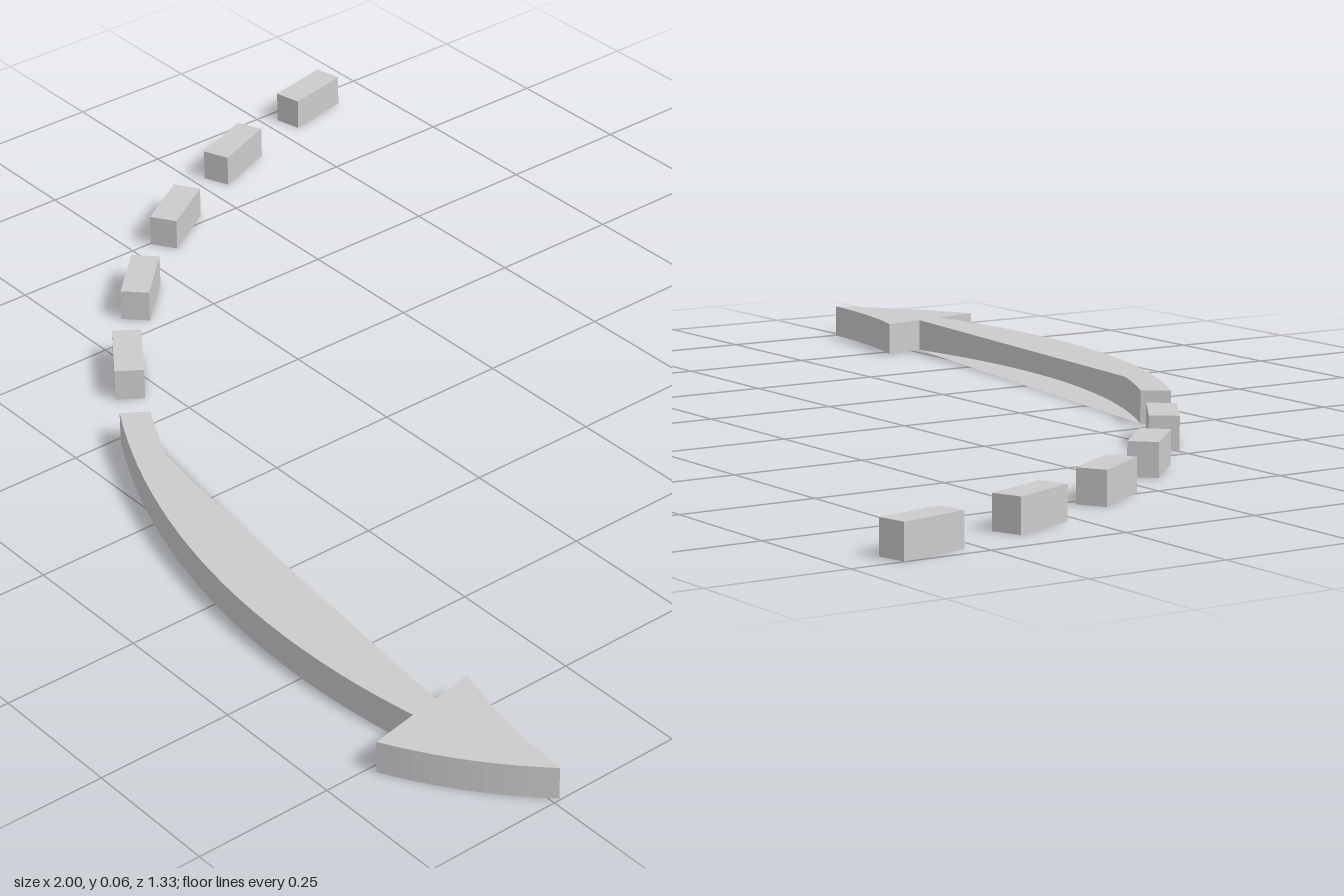
import * as THREE from 'three';

const H = 0.06;                         // thickness of every piece
const CX = 0.48, CZ = -0.86;            // centre of the sweep
const R_OUT = 1.459, R_IN = 1.405;
const SEG = 24;

const mat = new THREE.MeshStandardMaterial({ color: 0xcccccc });
const openMat = new THREE.MeshStandardMaterial({ color: 0xcccccc, side: THREE.DoubleSide });

function add(parent, name, geometry, material = mat) {
  const mesh = new THREE.Mesh(geometry, material);
  mesh.name = name;
  parent.add(mesh);
}

// Points [x, z] along the sweep, between two x positions
function arc(r, x0, x1) {
  const a0 = Math.asin((x0 - CX) / r), a1 = Math.asin((x1 - CX) / r);
  return Array.from({ length: SEG + 1 }, (_, i) => {
    const a = a0 + (a1 - a0) * i / SEG;
    return [CX + r * Math.sin(a), CZ + r * Math.cos(a)];
  });
}

// Flat horizontal sheet facing up or down
function sheet(pts, y, up) {
  const s = up ? -1 : 1;
  const shape = new THREE.Shape(pts.map(([x, z]) => new THREE.Vector2(x, s * z)));
  return new THREE.ShapeGeometry(shape).rotateX(s * Math.PI / 2).translate(0, y, 0);
}

// Upright strip following points, facing the viewer who sees them left to right
function wall(pts) {
  const g = new THREE.PlaneGeometry(1, H, pts.length - 1, 1);
  const p = g.attributes.position;
  for (let i = 0; i < p.count; i++) {
    const [x, z] = pts[i % pts.length];
    p.setXYZ(i, x, i < pts.length ? H : 0, z);
  }
  g.computeVertexNormals();
  return g;
}

// Solid slab from a shape drawn in (x, -z)
function slab(shape) {
  return new THREE.ExtrudeGeometry(shape, { depth: H, bevelEnabled: false, curveSegments: 10 })
    .rotateX(-Math.PI / 2);
}

export function createModel() {
  const model = new THREE.Group();
  model.name = 'dashedCurvedArrow';

  // Five dashes, each given by the middles of its two ends
  const dashes = [
    [-0.973, -0.661, -0.946, -0.535],
    [-0.904, -0.406, -0.856, -0.284],
    [-0.794, -0.166, -0.725, -0.056],
    [-0.639, 0.051, -0.548, 0.144],
    [-0.452, 0.235, -0.34, 0.313],
  ];
  dashes.forEach(([x0, z0, x1, z1], i) => {
    const length = Math.hypot(x1 - x0, z1 - z0);
    const g = new THREE.BoxGeometry(length, H, 0.053)
      .rotateY(-Math.atan2(z1 - z0, x1 - x0))
      .translate((x0 + x1) / 2, H / 2, (z0 + z1) / 2);
    add(model, `dash${i + 1}`, g);
  });

  // Shaft: curved walls, with sheets that bridge the hollow of the inner curve
  const shaft = new THREE.Group();
  shaft.name = 'shaft';
  model.add(shaft);
  const outer = arc(R_OUT, -0.24, 0.752);
  const inner = arc(R_IN, 0.742, -0.21);
  const tail = inner[SEG];
  add(shaft, 'outerWall', wall(outer), openMat);
  add(shaft, 'innerWall', wall(inner), openMat);
  add(shaft, 'tailWall', wall([tail, outer[0]]), openMat);
  const bend = arc(R_IN, -0.07, -0.21).filter((_, i) => i % 6 === 0);
  add(shaft, 'topSheet', sheet([...outer, inner[0], ...bend], H, true), openMat);
  add(shaft, 'bottomSheet', sheet([...outer, inner[0], tail], 0, false), openMat);

  // Arrowhead with softly curved sides
  const head = new THREE.Shape();
  head.moveTo(0.725, -0.44);
  head.lineTo(0.765, -0.662);
  head.quadraticCurveTo(0.895, -0.595, 0.997, -0.487);
  head.quadraticCurveTo(0.85, -0.48, 0.725, -0.44);
  add(model, 'arrowHead', slab(head));

  return model;
}
